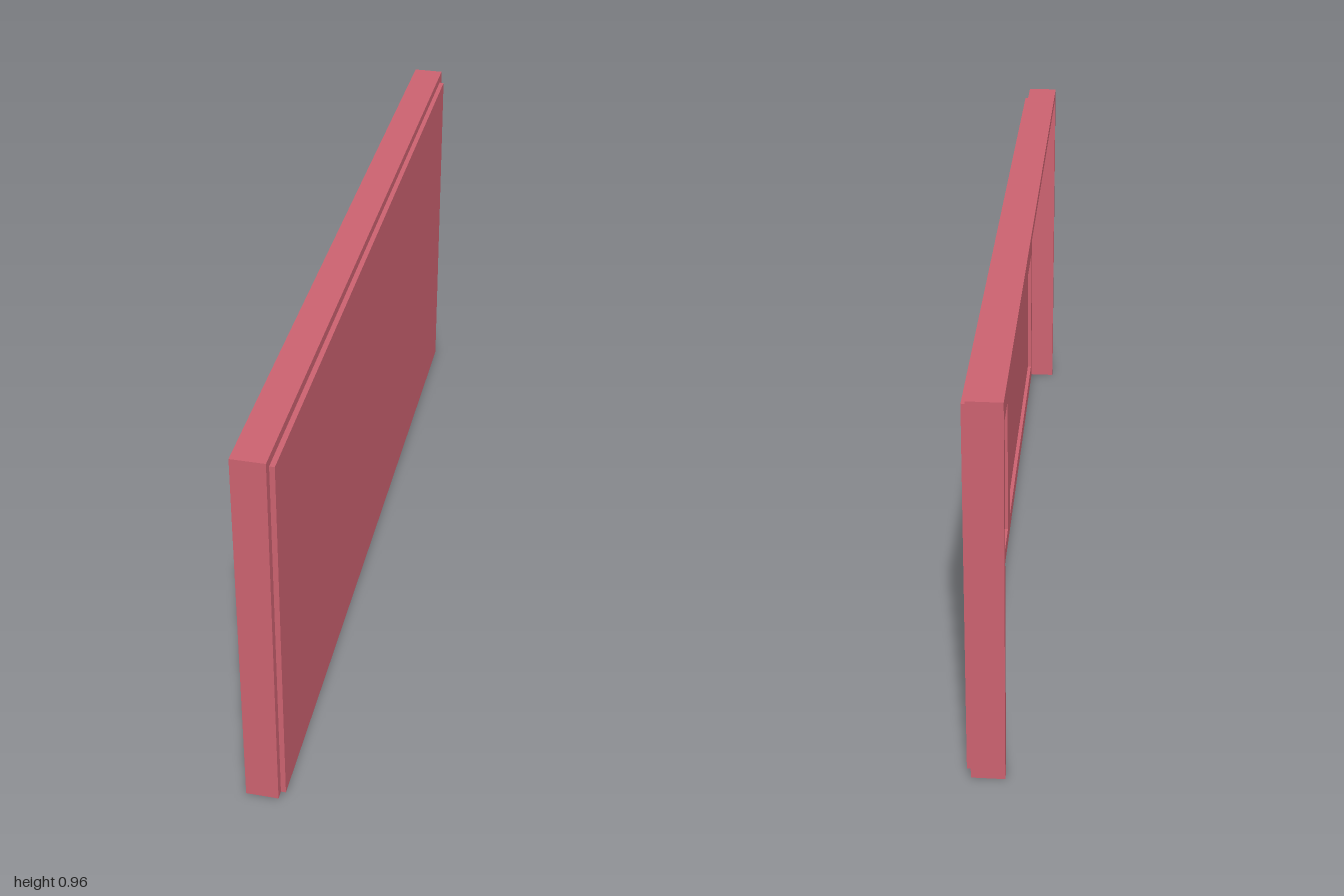
import * as THREE from 'three';

const H = 0.965, T = 0.022;              // casing height and board thickness
const Z0 = -0.97, Z1 = 0.978, TOP = 0.943; // door leaf extents (small clearance at the -z edge)

const material = new THREE.MeshStandardMaterial({ color: 0xcc6270 });

// Extrudes a (z, y) outline between two x positions.
function slab(name, outline, holes, xMin, xMax) {
  const toPoints = pts => pts.map(([z, y]) => new THREE.Vector2(z, y));
  const shape = new THREE.Shape(toPoints(outline));
  holes.forEach(h => shape.holes.push(new THREE.Path(toPoints(h))));
  const geometry = new THREE.ExtrudeGeometry(shape, { depth: xMax - xMin, bevelEnabled: false });
  geometry.rotateY(-Math.PI / 2);
  geometry.translate(xMax, 0, 0);
  const mesh = new THREE.Mesh(geometry, material);
  mesh.name = name;
  return mesh;
}

const rect = (z0, y0, z1, y1) => [[z0, y0], [z1, y0], [z1, y1], [z0, y1]];

export function createModel() {
  const group = new THREE.Group();
  group.name = 'doorInCasing';

  // Casing: two jambs and a head, open at the floor
  const inner = 1 - T;
  group.add(slab('casing', [
    [-1, 0], [-inner, 0], [-inner, H - T], [inner, H - T],
    [inner, 0], [1, 0], [1, H], [-1, H],
  ], [], -0.045, 0.033));

  // Door leaf: flat outer sheet, proud of the casing
  const door = new THREE.Group();
  door.name = 'door';
  door.add(slab('doorSheet', rect(Z0, 0, Z1, TOP), [], 0.033, 0.045));

  // Stiles and rails on the inner face, leaving four recessed panels
  const mid = (Z0 + Z1) / 2, stile = 0.032, half = 0.038;
  const holes = [];
  for (const [za, zb] of [[Z0 + stile, mid - half], [mid + half, Z1 - stile]])
    for (const [ya, yb] of [[0.045, 0.443], [0.52, 0.9]])
      holes.push(rect(za, ya, zb, yb));
  door.add(slab('stilesAndRails', rect(Z0, 0, Z1, TOP), holes, 0.023, 0.033));
  group.add(door);

  return group;
}
